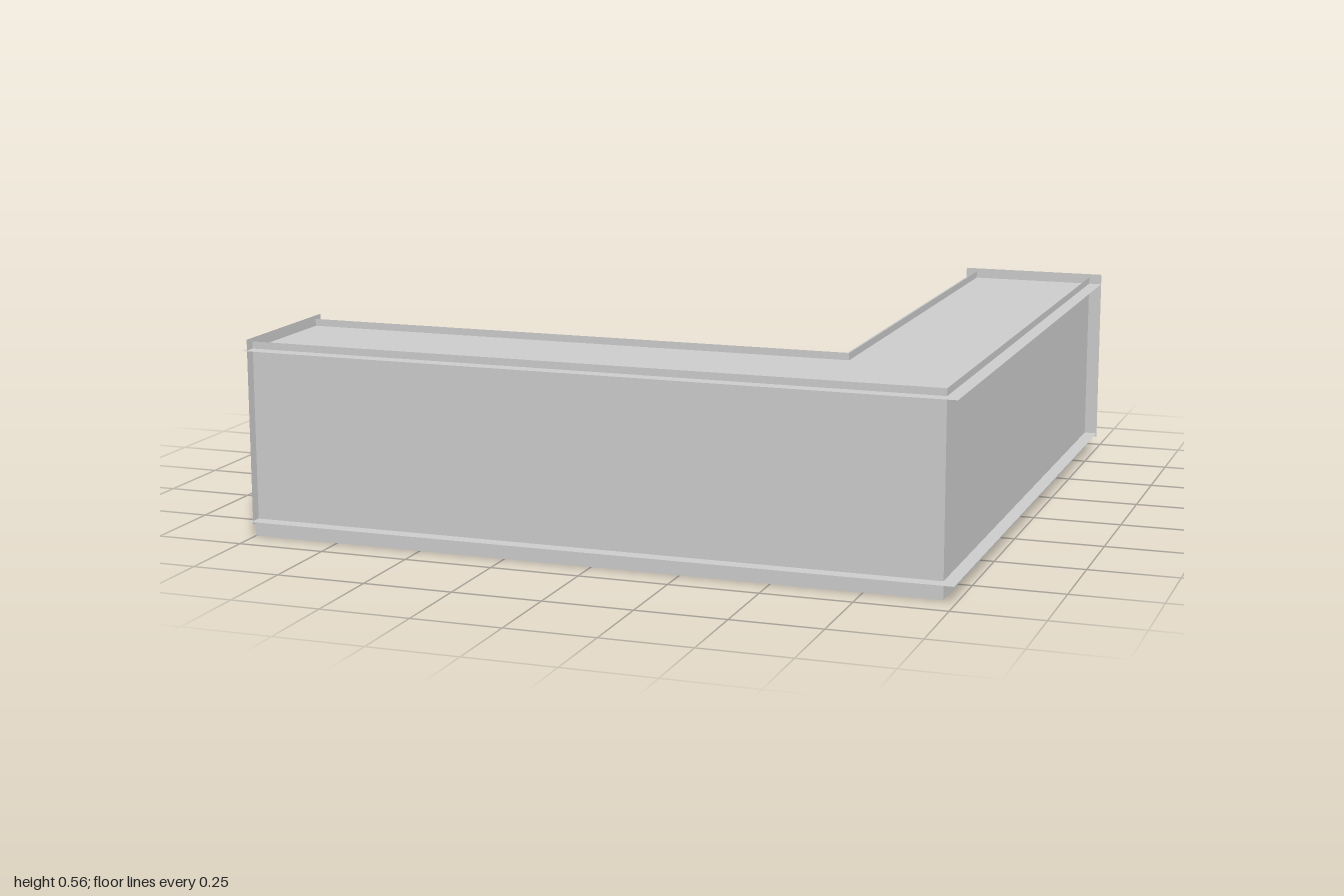
import * as THREE from 'three';

const material = new THREE.MeshStandardMaterial({ color: 0xcccccc, side: THREE.DoubleSide });

export function createModel() {
  const group = new THREE.Group();
  const add = (name, geometry) => {
    const mesh = new THREE.Mesh(geometry, material);
    mesh.name = name;
    group.add(mesh);
    return mesh;
  };

  // Thin upright panel between two plan points [x, z]
  const panel = (name, [x0, z0], [x1, z1], bottom, top) => {
    const mesh = add(name, new THREE.PlaneGeometry(Math.hypot(x1 - x0, z1 - z0), top - bottom));
    mesh.position.set((x0 + x1) / 2, (bottom + top) / 2, (z0 + z1) / 2);
    mesh.rotation.y = -Math.atan2(z1 - z0, x1 - x0);
  };

  // L-shaped floor and roof sheets, overhanging the walls
  const outline = [[-1, 0.95], [1, 0.95], [1, -0.95], [0.565, -0.95], [0.565, 0.49], [-1, 0.49]];
  const plan = new THREE.Shape(outline.map(([x, z]) => new THREE.Vector2(x, -z)));
  for (const [name, y] of [['floorSheet', 0.05], ['roofSheet', 0.53]]) {
    const sheet = add(name, new THREE.ShapeGeometry(plan));
    sheet.rotation.x = -Math.PI / 2;
    sheet.position.y = y;
  }

  // Outer and inner walls, running past both sheets
  const outerCorner = [0.962, 0.908], innerCorner = [0.6, 0.535];
  panel('frontWall', [-1, 0.908], outerCorner, 0, 0.55);
  panel('sideWall', outerCorner, [0.962, -0.95], 0, 0.55);
  panel('innerBackWall', innerCorner, [-1, 0.535], 0, 0.55);
  panel('innerSideWall', [0.6, -0.95], innerCorner, 0, 0.55);

  // End panels closing the two arms, wider than the walls
  panel('rightEndPanel', [-0.99, 0.505], [-0.99, 0.94], 0.04, 0.56);
  panel('backEndPanel', [1, -0.935], [0.567, -0.935], 0.04, 0.56);

  return group;
}
